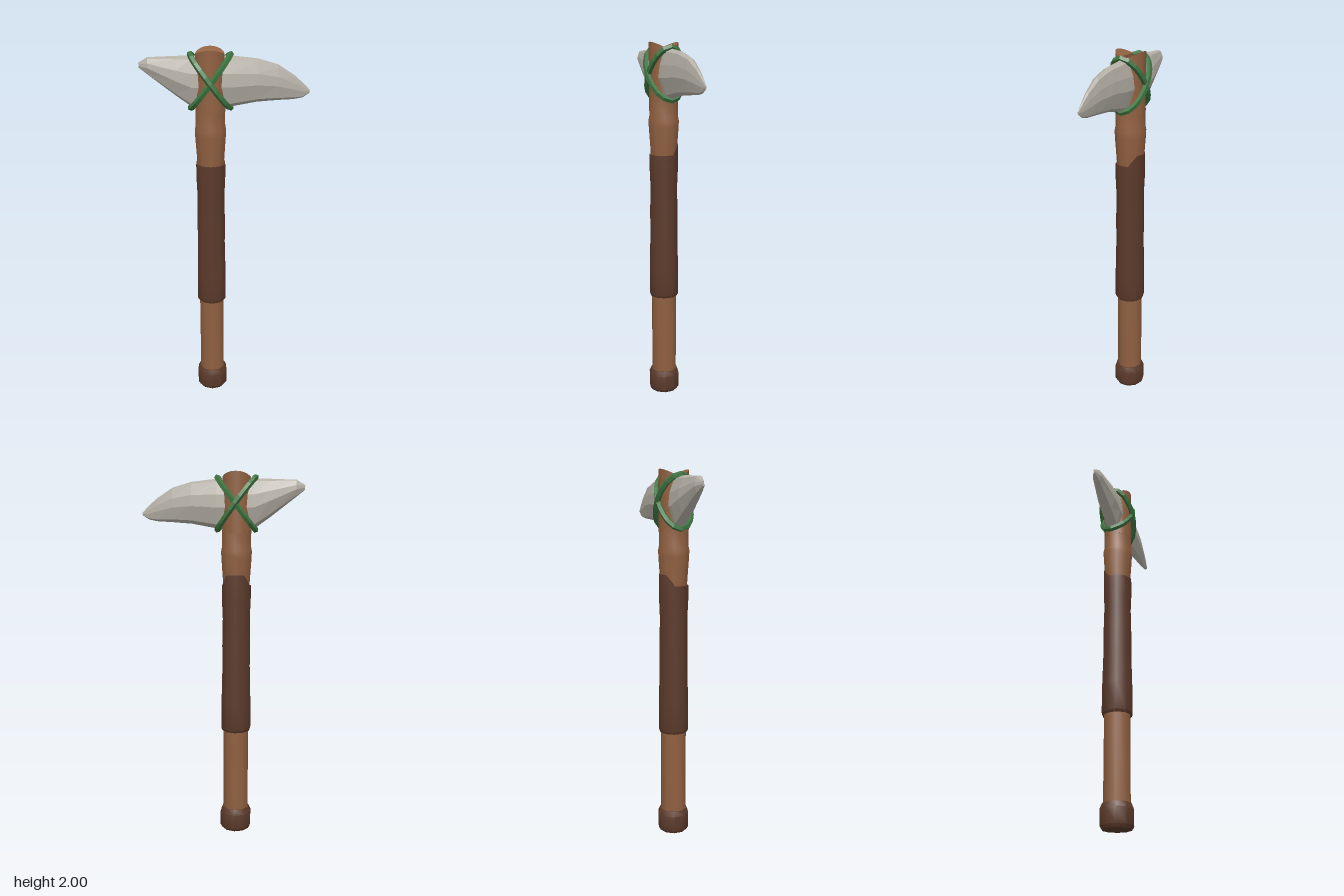
import * as THREE from 'three';
import { toCreasedNormals } from 'three/addons/utils/BufferGeometryUtils.js';

const mat = (name, color, extra = {}) => {
  const m = new THREE.MeshStandardMaterial({ color, ...extra });
  m.name = name;
  return m;
};

const AXIS_X = -0.075; // the shaft stands a little off centre
const SIDES = 10;

export function createModel() {
  const model = new THREE.Group();
  model.name = 'stonePick';
  const wood = mat('wood', 0x906040);
  const leather = mat('darkLeather', 0x5c3a2b);
  const stone = mat('stone', 0xb4afa5, { flatShading: true });
  const vine = mat('greenVine', 0x3d7540, { flatShading: true });

  const add = (name, geometry, material, x = 0) => {
    const mesh = new THREE.Mesh(geometry, material);
    mesh.name = name;
    mesh.position.x = x;
    model.add(mesh);
    return mesh;
  };
  // Turned part from [radius, height] pairs, bottom to top
  const turned = (profile) =>
    new THREE.LatheGeometry(profile.map(([r, y]) => new THREE.Vector2(r, y)), SIDES);

  // Shaft, up to the floor of the slot
  const shaft = turned([[0, 0.08], [0.071, 0.08], [0.071, 0.7], [0.066, 1.3], [0.073, 1.4],
    [0.084, 1.555], [0.085, 1.585], [0.08, 1.61], [0.081, 1.7], [0, 1.7]]);
  add('shaft', toCreasedNormals(shaft, 0.7), wood, AXIS_X);

  // Wrapped grip, its upper edge stepping up at the back
  const grip = turned([[0.06, 0.595], [0.077, 0.585], [0.084, 0.6], [0.083, 0.75], [0.078, 0.95],
    [0.079, 1.07], [0.076, 1.22], [0.081, 1.33], [0.081, 1.4], [0.06, 1.4]]);
  const gp = grip.attributes.position;
  for (let i = 0; i < gp.count; i++) {
    if (gp.getY(i) > 1.39 && gp.getZ(i) < -0.03) gp.setY(i, gp.getY(i) + 0.06);
  }
  add('grip', toCreasedNormals(grip, 0.7), leather, AXIS_X);

  // Pommel
  const pommel = turned([[0, 0], [0.077, 0], [0.088, 0.018], [0.088, 0.1], [0.076, 0.128], [0, 0.128]]);
  add('pommel', toCreasedNormals(pommel, 0.4 + 0.3), leather, AXIS_X);

  // Two prongs either side of the slot, tops sloping in towards the stone
  const r = 0.079, gap = 0.027, a = Math.asin(gap / r);
  const segment = new THREE.Shape();
  segment.absarc(0, 0, r, Math.PI + a, 2 * Math.PI - a, false);
  segment.closePath();
  const prong = new THREE.ExtrudeGeometry(segment, { depth: 0.32, bevelEnabled: false, curveSegments: 8 });
  prong.rotateX(-Math.PI / 2);
  prong.translate(0, 1.68, 0);
  const pp = prong.attributes.position;
  for (let i = 0; i < pp.count; i++) {
    if (pp.getY(i) > 1.9) pp.setY(i, 1.973 + 0.027 * (pp.getZ(i) - gap) / (r - gap));
  }
  const prongGeometry = toCreasedNormals(prong, 0.7);
  add('frontProng', prongGeometry, wood, AXIS_X);
  add('backProng', prongGeometry, wood, AXIS_X).rotation.y = Math.PI;

  add('stoneHead', stoneGeometry(), stone);

  // Two crossed vine loops binding the stone to the prongs
  for (const side of [-1, 1]) {
    const points = [];
    for (let i = 0; i < 12; i++) {
      const t = (i / 12) * Math.PI * 2;
      points.push(new THREE.Vector3(
        side * 0.103 * Math.cos(t),
        1.835 + 0.137 * Math.cos(t),
        (side < 0 ? 0.094 : 0.087) * Math.sin(t)));
    }
    const path = new THREE.CatmullRomCurve3(points, true);
    add(side < 0 ? 'vineLoopA' : 'vineLoopB',
      new THREE.TubeGeometry(path, 20, 0.016, 5, true), vine, AXIS_X + 0.002);
  }
  return model;
}

// Chipped stone head, lofted along x through faceted cross-sections
function stoneGeometry() {
  // x, top, bottom, half thickness
  const sections = [
    [-0.435, 1.93, 1.905, 0.004], [-0.39, 1.957, 1.87, 0.027], [-0.25, 1.963, 1.762, 0.052],
    [-0.17, 1.965, 1.705, 0.055], [0.03, 1.965, 1.705, 0.054], [0.165, 1.95, 1.73, 0.043],
    [0.27, 1.92, 1.738, 0.031], [0.355, 1.865, 1.743, 0.018], [0.4, 1.825, 1.752, 0.01],
    [0.435, 1.79, 1.775, 0.003],
  ];
  // Half outline as thickness and height fractions, mirrored to a ring
  const half = [[0, 1], [0.55, 0.94], [0.9, 0.68], [1, 0.42], [0.55, 0.08], [0, 0]];
  const ring = [...half, ...half.slice(1, -1).reverse().map(([u, v]) => [-u, v])];
  const n = ring.length;
  const positions = [], index = [];
  for (const [x, top, bottom, t] of sections) {
    for (const [u, v] of ring) positions.push(x, bottom + (top - bottom) * v, u * t);
  }
  for (let s = 0; s < sections.length - 1; s++) {
    for (let i = 0; i < n; i++) {
      const p = s * n + i, q = s * n + (i + 1) % n;
      index.push(p, q, p + n, q, q + n, p + n);
    }
  }
  // End tips
  const last = (sections.length - 1) * n;
  for (let i = 1; i < n - 1; i++) {
    index.push(0, i + 1, i);
    index.push(last, last + i, last + i + 1);
  }
  const geometry = new THREE.BufferGeometry();
  geometry.setAttribute('position', new THREE.Float32BufferAttribute(positions, 3));
  geometry.setIndex(index);
  geometry.computeVertexNormals();
  return geometry;
}
